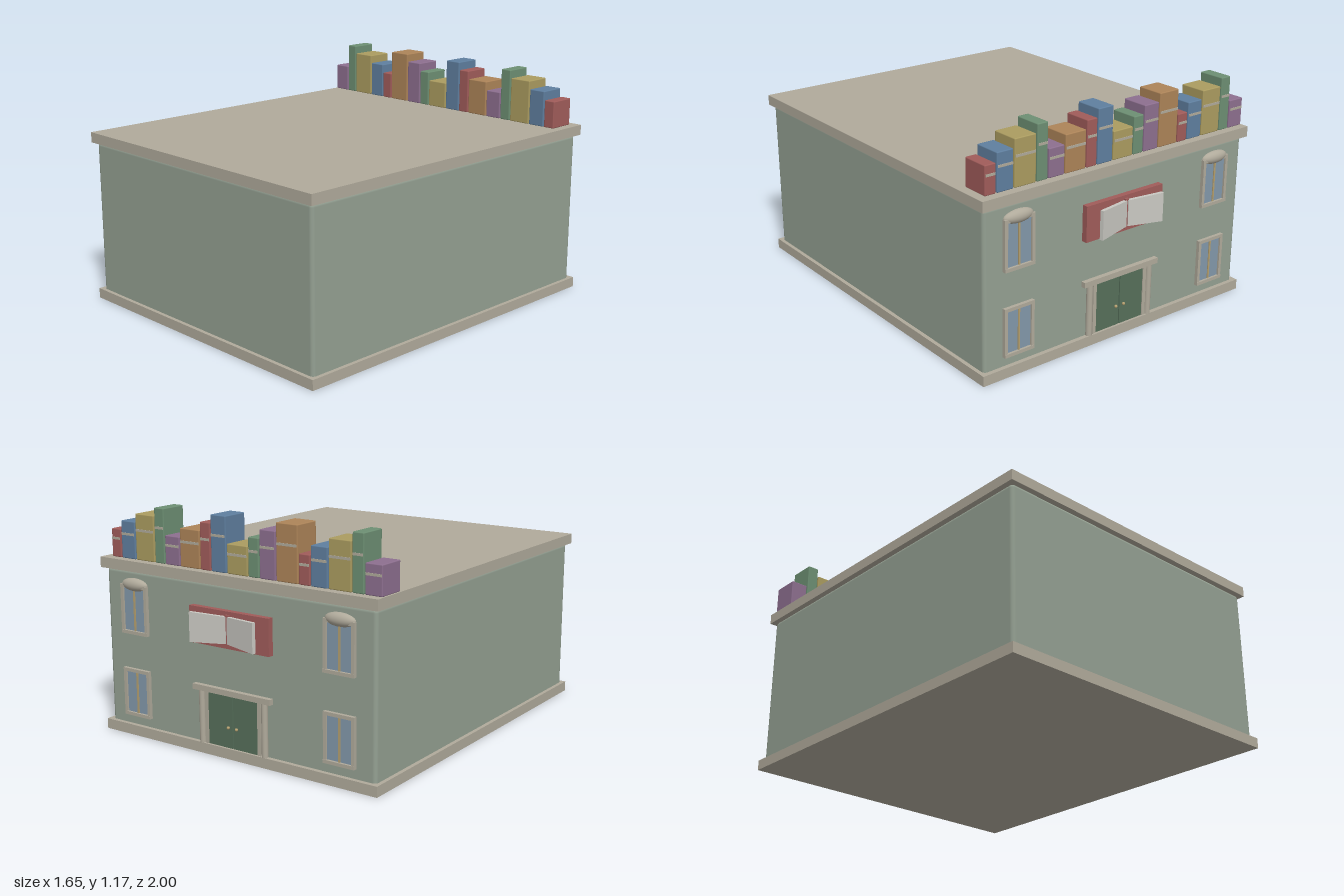
import * as THREE from 'three';
import { RoundedBoxGeometry } from 'three/addons/geometries/RoundedBoxGeometry.js';

const mat = (color) => new THREE.MeshStandardMaterial({ color });
const M = {
  wall: mat(0x94a092), stone: mat(0xb0aa9b), glass: mat(0x8398aa), gold: mat(0xb5a070),
  door: mat(0x566f5a), page: mat(0xc9c8c2), purple: mat(0x8d6f8f), green: mat(0x6d8f73),
  yellow: mat(0xab9c60), blue: mat(0x5f7f9f), red: mat(0xa05c5a), orange: mat(0xad8458),
};
const FACE = -0.91; // z of the facade wall, which looks towards -z

function add(parent, name, geometry, material, x, y, z) {
  const mesh = new THREE.Mesh(geometry, material);
  mesh.name = name;
  mesh.position.set(x, y, z);
  parent.add(mesh);
  return mesh;
}

// Box given by its ranges, optionally with rounded edges
function block(parent, name, material, [x0, x1], [y0, y1], [z0, z1], radius = 0) {
  const size = [x1 - x0, y1 - y0, z1 - z0];
  const geometry = radius ? new RoundedBoxGeometry(...size, 2, radius) : new THREE.BoxGeometry(...size);
  return add(parent, name, geometry, material, (x0 + x1) / 2, (y0 + y1) / 2, (z0 + z1) / 2);
}

// Box that stands out of the facade by a given depth
const onFacade = (parent, name, material, xs, ys, depth) =>
  block(parent, name, material, xs, ys, [FACE - depth, FACE + 0.01]);

function makeWindow(x, y0, y1, hooded) {
  const g = new THREE.Group();
  g.name = hooded ? 'upperWindow' : 'lowerWindow';
  const w = 0.085, t = 0.017;
  for (const s of [-1, 1]) {
    const c = x + s * (w - t / 2);
    onFacade(g, 'windowJamb', M.stone, [c - t / 2, c + t / 2], [y0, y1], 0.018);
  }
  onFacade(g, 'windowSill', M.stone, [x - w, x + w], [y0, y0 + t], 0.02);
  onFacade(g, 'windowHead', M.stone, [x - w, x + w], [y1 - t, y1], 0.018);
  onFacade(g, 'windowGlass', M.glass, [x - w + t, x + w - t], [y0 + t, y1 - t], 0.008);
  onFacade(g, 'windowMullion', M.gold, [x - 0.005, x + 0.005], [y0 + t, y1 - t], 0.013);
  // flattened oval hood over the upper windows
  if (hooded) add(g, 'windowHood', new THREE.SphereGeometry(1, 24, 16), M.stone, x, 0.775, FACE).scale.set(0.083, 0.033, 0.03);
  return g;
}

function makeEntrance() {
  const g = new THREE.Group();
  g.name = 'entrance';
  for (const s of [-1, 1]) {
    const leaf = [s * 0.003, s * 0.15].sort((a, b) => a - b);
    onFacade(g, 'doorLeaf', M.door, leaf, [0.05, 0.31], 0.01);
    add(g, 'doorKnob', new THREE.SphereGeometry(0.008, 12, 8), M.gold, s * 0.025, 0.155, FACE - 0.016);
    const jamb = [s * 0.15, s * 0.17].sort((a, b) => a - b);
    onFacade(g, 'doorJamb', M.stone, jamb, [0.05, 0.315], 0.014);
    add(g, 'doorColumn', new THREE.CylinderGeometry(0.016, 0.016, 0.265, 16), M.stone, s * 0.19, 0.1825, FACE - 0.008);
  }
  onFacade(g, 'doorLintel', M.stone, [-0.235, 0.235], [0.315, 0.343], 0.025);
  return g;
}

// Open book on a red board, its leaves fanning outwards
function makeSign() {
  const g = new THREE.Group();
  g.name = 'openBookSign';
  onFacade(g, 'signBoard', M.red, [-0.238, 0.238], [0.55, 0.73], 0.03);
  block(g, 'signSpine', M.red, [-0.01, 0.01], [0.565, 0.715], [FACE - 0.042, FACE - 0.02]);
  for (const s of [-1, 1]) {
    const outline = [[0, -0.065], [s * 0.19, -0.073], [s * 0.19, 0.073], [0, 0.065]];
    const shape = new THREE.Shape(outline.map(([x, y]) => new THREE.Vector2(x, y)));
    const leaf = new THREE.ExtrudeGeometry(shape, { depth: 0.018, bevelEnabled: false });
    add(g, 'signPage', leaf, M.page, s * 0.004, 0.642, -0.956).rotation.y = s * 0.225;
  }
  return g;
}

// Row of books standing along the roof edge, spines to the facade side
function makeBooks() {
  const g = new THREE.Group();
  g.name = 'roofBooks';
  const colors = ['purple', 'green', 'yellow', 'blue', 'red', 'orange'];
  const widths = [0.09, 0.06, 0.12];
  const heights = [0.142, 0.27, 0.229, 0.187];
  let x = -0.819;
  for (let i = 0; i < 17; i++) {
    const w = widths[i % 3], h = heights[i % 4];
    block(g, 'book', M[colors[i % 6]], [x, x + w], [0.896, 0.896 + h], [-0.89, -0.747], 0.005);
    const band = 0.896 + h * 0.62;
    block(g, 'spineBand', M.stone, [x + 0.004, x + w - 0.004], [band, band + 0.012], [-0.893, -0.88]);
    x += w + 0.00625;
  }
  return g;
}

export function createModel() {
  const model = new THREE.Group();
  model.name = 'library';

  // building mass between two slabs
  block(model, 'baseSlab', M.stone, [-0.825, 0.825], [0, 0.052], [-0.932, 1]);
  block(model, 'walls', M.wall, [-0.805, 0.805], [0.02, 0.845], [FACE, 0.98], 0.02);
  block(model, 'roofSlab', M.stone, [-0.825, 0.825], [0.843, 0.896], [-0.932, 1]);

  // facade
  for (const x of [-0.615, 0.615]) {
    model.add(makeWindow(x, 0.1, 0.345, false));
    model.add(makeWindow(x, 0.525, 0.775, true));
  }
  model.add(makeEntrance(), makeSign(), makeBooks());
  return model;
}
